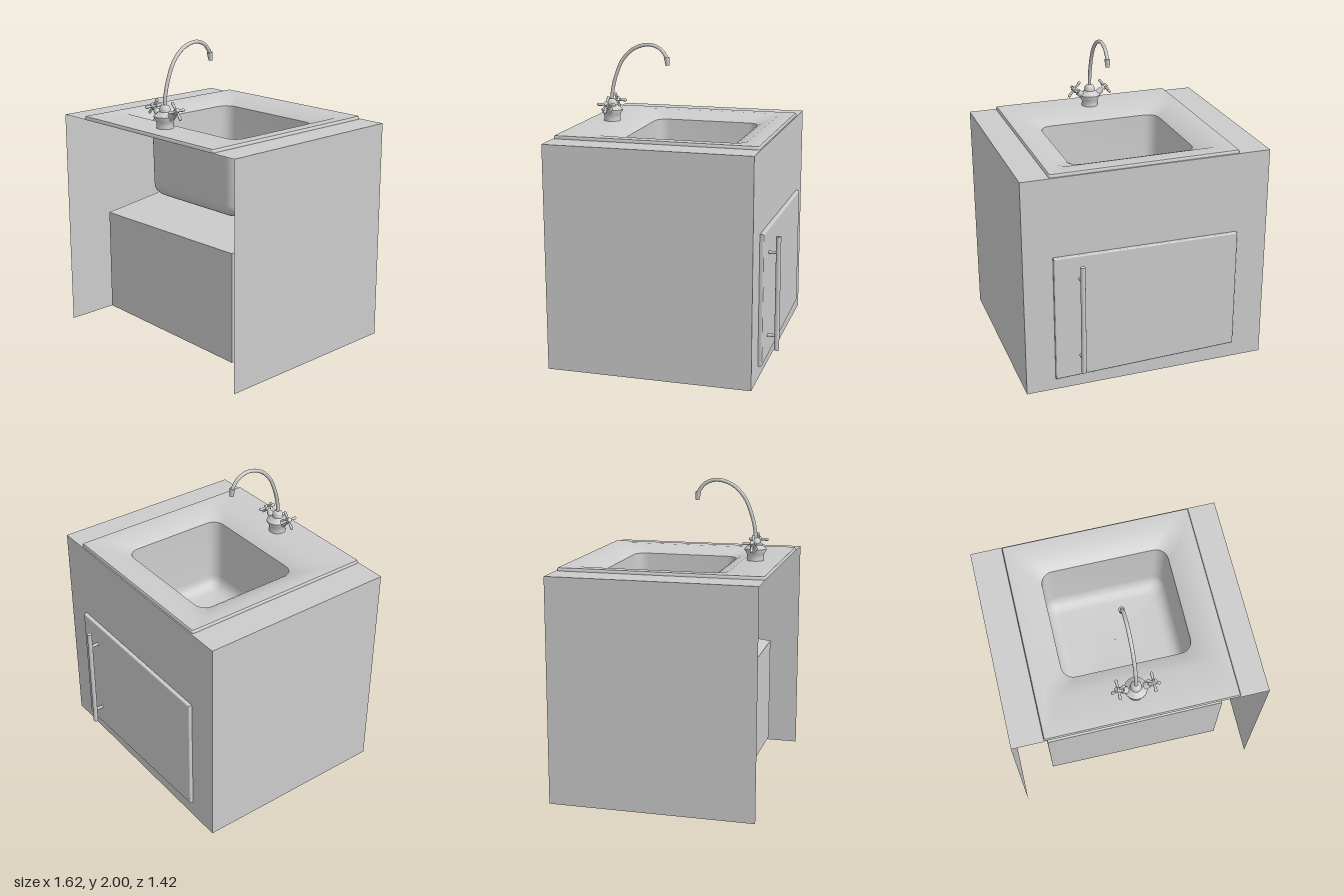
import * as THREE from 'three';
import { toCreasedNormals } from 'three/addons/utils/BufferGeometryUtils.js';

const solid = new THREE.MeshStandardMaterial({ color: 0xcccccc });
const sheet = new THREE.MeshStandardMaterial({ color: 0xcccccc, side: THREE.DoubleSide });
const V = (x, y, z) => new THREE.Vector3(x, y, z);

function add(parent, name, geometry, material = solid) {
  const mesh = new THREE.Mesh(geometry, material);
  mesh.name = name;
  parent.add(mesh);
  return mesh;
}

// Cylinder between two points
function rod(parent, name, a, b, r0, r1 = r0, sides = 14) {
  const mesh = add(parent, name, new THREE.CylinderGeometry(r1, r0, a.distanceTo(b), sides));
  mesh.position.copy(a).add(b).multiplyScalar(0.5);
  mesh.quaternion.setFromUnitVectors(V(0, 1, 0), b.clone().sub(a).normalize());
  return mesh;
}

// Rounded rectangle loops [x0, x1, z0, z1, cornerRadius, y], joined from the outside inwards
function loftRects(levels, seg = 6) {
  const pos = [], index = [], n = 4 * (seg + 1);
  for (const [x0, x1, z0, z1, r, y] of levels) {
    const corners = [[x1 - r, z1 - r], [x0 + r, z1 - r], [x0 + r, z0 + r], [x1 - r, z0 + r]];
    corners.forEach(([cx, cz], k) => {
      for (let i = 0; i <= seg; i++) {
        const t = (k + i / seg) * Math.PI / 2;
        pos.push(cx + r * Math.cos(t), y, cz + r * Math.sin(t));
      }
    });
  }
  for (let l = 0; l < levels.length - 1; l++) {
    for (let j = 0; j < n; j++) {
      const a = l * n + j, b = l * n + (j + 1) % n;
      index.push(a, a + n, b, b, a + n, b + n);
    }
  }
  const g = new THREE.BufferGeometry();
  g.setAttribute('position', new THREE.Float32BufferAttribute(pos, 3));
  g.setIndex(index);
  return toCreasedNormals(g, 0.75);
}

// Slightly uneven outline shared by the door and its opening
const doorOutline = [[-0.6, 0.115], [0.62, 0.085], [0.62, 0.937], [-0.6, 0.925]];
const outline = (pts) => pts.map(([x, y]) => new THREE.Vector2(x, y));

function buildCabinet() {
  const g = new THREE.Group();
  g.name = 'cabinet';
  const W = 0.81, H = 1.457, Z0 = -0.61, Z1 = 0.71, depth = Z1 - Z0;

  // Open shell: two sides, the door wall and a top rim around the sink
  for (const s of [-1, 1]) {
    const side = add(g, s > 0 ? 'leftSide' : 'rightSide', new THREE.PlaneGeometry(depth, H), sheet);
    side.rotation.y = s * Math.PI / 2;
    side.position.set(s * W, H / 2, (Z0 + Z1) / 2);
  }
  const wall = new THREE.Shape(outline([[-W, 0], [W, 0], [W, H], [-W, H]]));
  wall.holes.push(new THREE.Path(outline(doorOutline)));
  add(g, 'doorWall', new THREE.ShapeGeometry(wall), sheet).position.z = Z0;

  const rim = new THREE.Shape(outline([
    [-W, -Z1], [-0.6, -Z1], [-0.6, 0.59], [0.62, 0.59], [0.62, -Z1], [W, -Z1], [W, -Z0], [-W, -Z0],
  ]));
  const top = add(g, 'topRim', new THREE.ShapeGeometry(rim), sheet);
  top.rotation.x = -Math.PI / 2;
  top.position.y = H;

  // Storage box behind the door, its roof sloping down towards +z
  const box = new THREE.BoxGeometry(1, 1, 1);
  const p = box.attributes.position;
  for (let i = 0; i < p.count; i++) {
    const right = p.getX(i) > 0, up = p.getY(i) > 0, far = p.getZ(i) > 0;
    const x = right ? (far ? 0.615 : 0.62) : (far ? -0.585 : -0.6);
    const y = up ? (far ? 0.79 : 0.925) + (right ? 0.011 : 0) : (right ? 0.085 : 0.115);
    p.setXYZ(i, x, y, far ? 0.54 : Z0);
  }
  box.computeVertexNormals();
  add(g, 'storageBox', box);
  return g;
}

function buildDoor() {
  const g = new THREE.Group();
  g.name = 'door';
  const panel = new THREE.ExtrudeGeometry(new THREE.Shape(outline(doorOutline)), {
    depth: 0.014, bevelThickness: 0.008, bevelSize: 0.008, bevelOffset: -0.008, bevelSegments: 3,
  });
  add(g, 'doorPanel', panel).position.z = -0.627;

  // Bar handle on two posts
  rod(g, 'handleBar', V(0.455, 0.14, -0.695), V(0.455, 0.885, -0.695), 0.016);
  for (const y of [0.235, 0.78]) {
    rod(g, 'handlePost', V(0.455, y, -0.63), V(0.455, y, -0.695), 0.01);
  }
  return g;
}

function buildFaucet() {
  const g = new THREE.Group();
  g.name = 'faucet';
  const profile = [[0.056, 0], [0.053, 0.02], [0.056, 0.045], [0.072, 0.07], [0.072, 0.077],
    [0.055, 0.09], [0.036, 0.105], [0.034, 0.125], [0.026, 0.14], [0.012, 0.147], [0, 0.148]];
  add(g, 'faucetBody', toCreasedNormals(new THREE.LatheGeometry(outline(profile), 24), 0.7));

  // Swan-neck spout and nozzle
  const path = new THREE.CatmullRomCurve3([
    [0, 0.13], [-0.005, 0.2], [-0.03, 0.3], [-0.08, 0.41], [-0.16, 0.485],
    [-0.26, 0.512], [-0.335, 0.488], [-0.375, 0.44], [-0.385, 0.42],
  ].map(([z, y]) => V(0, y, z)));
  add(g, 'spout', new THREE.TubeGeometry(path, 48, 0.012, 12));
  rod(g, 'nozzle', V(0, 0.432, -0.381), V(0, 0.38, -0.387), 0.019, 0.013);

  // Two tilted taps with cross handles
  for (const s of [-1, 1]) {
    const tap = new THREE.Group();
    tap.name = s > 0 ? 'leftTap' : 'rightTap';
    tap.position.set(s * 0.035, 0.06, 0);
    tap.rotation.z = -s * 0.88;
    rod(tap, 'tapStem', V(0, 0, 0), V(0, 0.065, 0), 0.026, 0.02);
    rod(tap, 'tapNeck', V(0, 0.06, 0), V(0, 0.085, 0), 0.012);
    rod(tap, 'tapHub', V(0, 0.08, 0), V(0, 0.115, 0), 0.018, 0.015);
    for (let k = 0; k < 4; k++) {
      const t = k * Math.PI / 2, dir = V(Math.cos(t), 0, Math.sin(t));
      const at = (d) => dir.clone().multiplyScalar(d).add(V(0, 0.097, 0));
      rod(tap, 'tapSpoke', at(0), at(0.056), 0.006, 0.01, 10);
      add(tap, 'spokeTip', new THREE.SphereGeometry(0.01, 10, 8)).position.copy(at(0.056));
    }
    g.add(tap);
  }
  g.position.set(0.005, 1.475, 0.535);
  return g;
}

export function createModel() {
  const model = new THREE.Group();
  model.name = 'sinkCabinet';
  model.add(buildCabinet(), buildDoor(), buildFaucet());

  // Sink: raised plate, sloped surround, then the deep rounded bowl
  const levels = [
    [-0.606, 0.628, -0.602, 0.706, 0.012, 1.455],
    [-0.606, 0.628, -0.602, 0.706, 0.012, 1.47],
    [-0.601, 0.623, -0.597, 0.701, 0.01, 1.477],
    [-0.53, 0.55, -0.5, 0.455, 0.08, 1.476],
    [-0.43, 0.45, -0.41, 0.365, 0.085, 1.44],
    [-0.405, 0.425, -0.385, 0.34, 0.08, 1.425],
  ];
  for (let i = 0; i <= 5; i++) {
    const t = i / 5 * Math.PI / 2, d = 0.01 + 0.09 * (1 - Math.cos(t));
    levels.push([-0.41 + d, 0.43 - d, -0.39 + d, 0.345 - d, 0.08 - 0.04 * i / 5, 1.0 - 0.09 * Math.sin(t)]);
  }
  levels.push([0.008, 0.012, -0.027, -0.023, 0.001, 0.91]);
  add(model, 'sink', loftRects(levels), sheet);
  return model;
}
